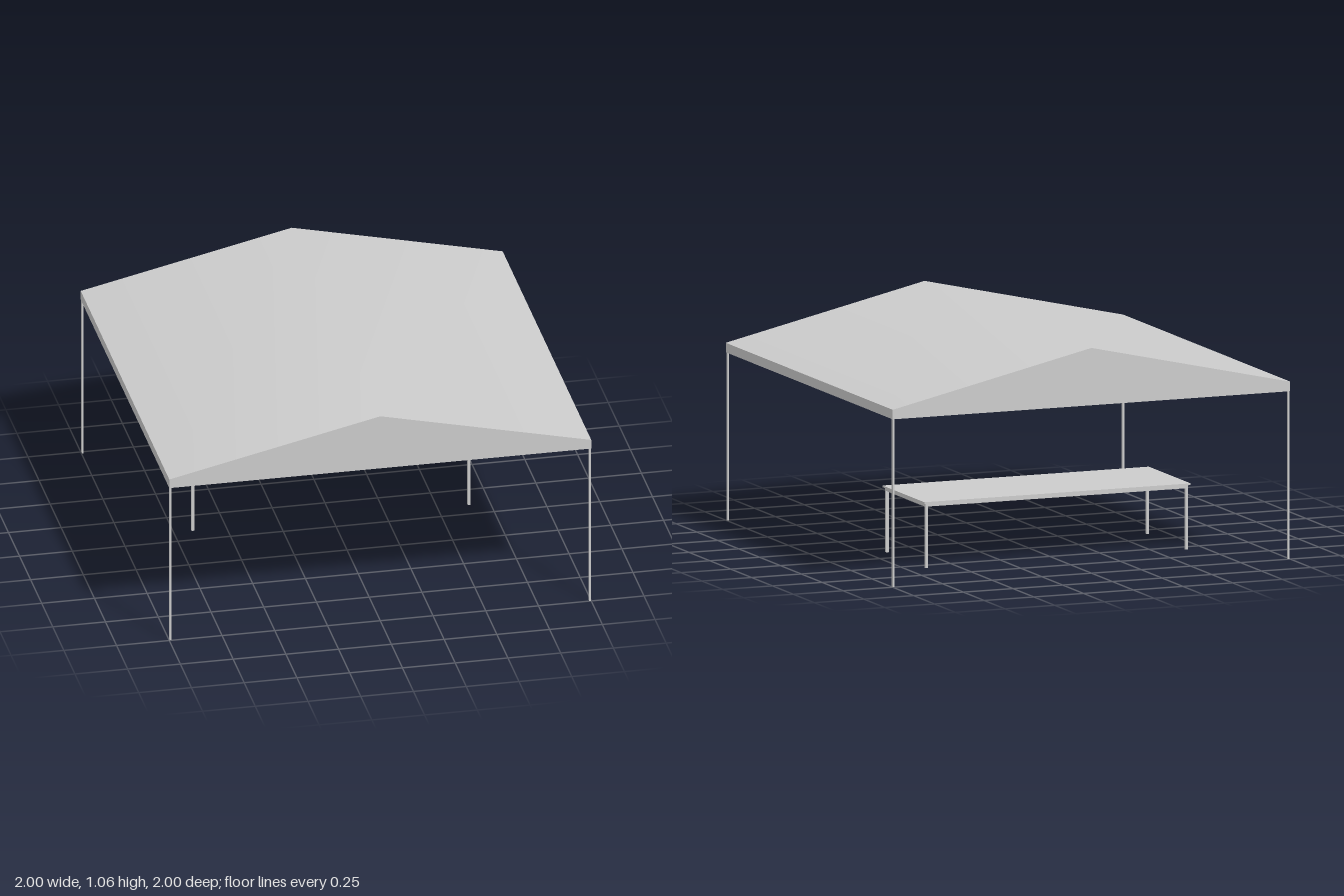
import * as THREE from 'three';

const material = new THREE.MeshStandardMaterial({ color: 0xcccccc, side: THREE.DoubleSide });

// Box given by its min and max corners
function bar(parent, name, [x0, y0, z0], [x1, y1, z1]) {
  const mesh = new THREE.Mesh(new THREE.BoxGeometry(x1 - x0, y1 - y0, z1 - z0), material);
  mesh.position.set((x0 + x1) / 2, (y0 + y1) / 2, (z0 + z1) / 2);
  mesh.name = name;
  parent.add(mesh);
  return mesh;
}

function namedGroup(parent, name) {
  const group = new THREE.Group();
  group.name = name;
  parent.add(group);
  return group;
}

const EAVE = 0.835, RIDGE = 1.06, HEM = 0.79;

function addCanopy(parent) {
  const canopy = namedGroup(parent, 'canopy');

  // Two roof slopes, shaded smoothly over the ridge
  const slopes = new THREE.BufferGeometry();
  slopes.setAttribute('position', new THREE.Float32BufferAttribute([
    -1, EAVE, 1, 0, RIDGE, 1, 1, EAVE, 1,
    -1, EAVE, -1, 0, RIDGE, -1, 1, EAVE, -1,
  ], 3));
  slopes.setIndex([0, 1, 4, 0, 4, 3, 1, 2, 5, 1, 5, 4]);
  slopes.computeVertexNormals();
  const roof = new THREE.Mesh(slopes, material);
  roof.name = 'roofSlopes';
  canopy.add(roof);

  // Gable cloth at both ends and valances along both eaves
  const gable = new THREE.ShapeGeometry(new THREE.Shape([
    new THREE.Vector2(-1, HEM), new THREE.Vector2(1, HEM), new THREE.Vector2(1, EAVE),
    new THREE.Vector2(0, RIDGE), new THREE.Vector2(-1, EAVE),
  ]));
  for (const s of [-1, 1]) {
    const end = new THREE.Mesh(gable, material);
    end.name = s > 0 ? 'frontGable' : 'backGable';
    end.position.z = s;
    end.rotation.y = s > 0 ? 0 : Math.PI;
    canopy.add(end);

    const valance = new THREE.Mesh(new THREE.PlaneGeometry(2, EAVE - HEM), material);
    valance.name = s > 0 ? 'leftValance' : 'rightValance';
    valance.position.set(s, (EAVE + HEM) / 2, 0);
    valance.rotation.y = s * Math.PI / 2;
    canopy.add(valance);
  }
}

function addFrame(parent) {
  const frame = namedGroup(parent, 'tentFrame');
  const W = 0.015, IN = 0.998;

  for (const s of [-1, 1]) {
    // Corner posts, flat in x and wider in z
    for (const t of [-1, 1]) {
      const post = bar(frame, 'cornerPost', [-0.004, 0, -W / 2], [0.004, 0.83, W / 2]);
      post.position.x = s * (IN - 0.004);
      post.position.z = t * (IN - W / 2);
    }
    // Eave rail along the side, tie rail across the end
    const eave = bar(frame, 'eaveRail', [-W / 2, 0.791, -IN], [W / 2, 0.803, IN]);
    eave.position.x = s * (IN - W / 2);
    const tie = bar(frame, 'tieRail', [-IN, 0.791, -W / 2], [IN, 0.803, W / 2]);
    tie.position.z = s * (IN - W / 2);

    // Rafters under both slopes at this end
    for (const t of [-1, 1]) {
      const rise = RIDGE - EAVE;
      const rafter = bar(frame, 'rafter', [-0.507, -0.006, -W / 2], [0.507, 0.006, W / 2]);
      rafter.position.set(t * 0.496, (RIDGE + EAVE) / 2 - 0.009, s * (IN - W / 2));
      rafter.rotation.z = -t * Math.atan(rise);
    }
  }
  bar(frame, 'ridgePole', [-W / 2, RIDGE - 0.018, -IN], [W / 2, RIDGE - 0.004, IN]);
}

function addTable(parent) {
  const table = namedGroup(parent, 'table');
  const X = 0.67, Z = 0.25, W = 0.013;
  bar(table, 'tableTop', [-X, 0.304, -Z], [X, 0.312, Z]);
  const lx = X - 0.009, lz = Z - 0.009;

  for (const s of [-1, 1]) {
    for (const t of [-1, 1]) {
      const leg = bar(table, 'tableLeg', [-W / 2, 0, -W / 2], [W / 2, 0.304, W / 2]);
      leg.position.x = s * (lx - W / 2);
      leg.position.z = t * (lz - W / 2);
    }
    // Rails under the edge of the top
    const long = bar(table, 'longRail', [-lx, 0.289, -W / 2], [lx, 0.304, W / 2]);
    long.position.z = s * (lz - W / 2);
    const short = bar(table, 'shortRail', [-W / 2, 0.289, -lz], [W / 2, 0.304, lz]);
    short.position.x = s * (lx - W / 2);
  }
  table.position.set(-0.004, 0, -0.333);
}

export function createModel() {
  const model = new THREE.Group();
  model.name = 'marqueeWithTable';
  addCanopy(model);
  addFrame(model);
  addTable(model);
  return model;
}
